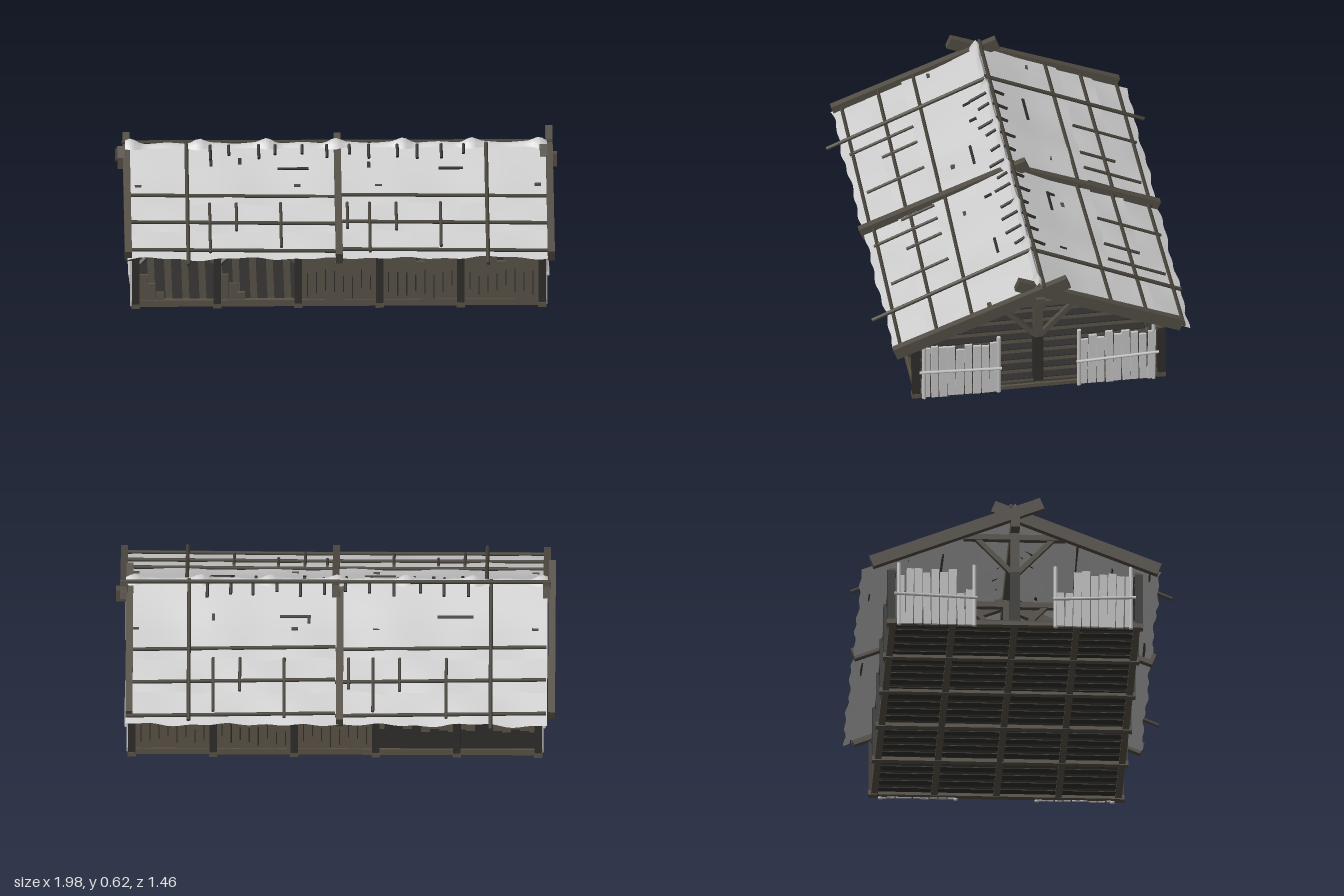
import * as THREE from 'three';

const mat = (name, color, side = THREE.FrontSide) => {
  const m = new THREE.MeshStandardMaterial({ color, side });
  m.name = name;
  return m;
};

export function createModel() {
  const model = new THREE.Group();
  model.name = 'longhouse';
  const wood = mat('weathered wood', 0x595246);
  const timber = mat('rafter timber', 0x524d44);
  const dark = mat('charred wood', 0x2f2e2c);
  const pole = mat('roof pole wood', 0x47433a);
  const pale = mat('pale fence wood', 0xc6c6c6);
  const cloth = mat('roof cloth', 0xcdcdcd, THREE.DoubleSide);

  let seed = 7;
  const rnd = (a = 0, b = 1) => {
    seed = (seed * 16807) % 2147483647;
    return a + (b - a) * seed / 2147483647;
  };
  const group = (name) => {
    const g = new THREE.Group();
    g.name = name;
    model.add(g);
    return g;
  };
  const box = (parent, name, m, w, h, d, x, y, z) => {
    const o = new THREE.Mesh(new THREE.BoxGeometry(w, h, d), m);
    o.name = name;
    o.position.set(x, y, z);
    parent.add(o);
    return o;
  };
  // square timber or round pole running between two points
  const Z = new THREE.Vector3(0, 0, 1);
  const beam = (parent, name, m, a, b, w, h, round = false) => {
    const p = new THREE.Vector3(...a), d = new THREE.Vector3(...b).sub(p);
    const geo = round
      ? new THREE.CylinderGeometry(w / 2, w / 2, d.length(), 7).rotateX(Math.PI / 2)
      : new THREE.BoxGeometry(w, h, d.length());
    const o = new THREE.Mesh(geo, m);
    o.name = name;
    o.position.copy(p).addScaledVector(d, 0.5);
    o.quaternion.setFromUnitVectors(Z, d.normalize());
    parent.add(o);
  };

  const roofY = (z) => 0.555 - 0.43 * Math.abs(z);
  const postX = [-0.915, -0.549, -0.183, 0.183, 0.549, 0.915];

  // floor on a grid of joists
  const floor = group('floor');
  box(floor, 'floorDeck', pole, 1.84, 0.012, 1.11, 0, 0.036, 0);
  for (const z of [-0.55, -0.28, 0, 0.28, 0.55])
    box(floor, 'longJoist', wood, 1.86, 0.018, 0.03, 0, 0.024, z);
  for (const x of postX) box(floor, 'crossJoist', wood, 0.032, 0.018, 1.13, x, 0.022, 0);
  for (let i = 0; i < 24; i++) {
    box(floor, 'floorSlat', dark, 0.045, 0.006, 1.08, -0.88 + i * 0.0765, 0.043, 0);
    box(floor, 'underSlat', dark, 0.045, 0.004, 1.08, -0.88 + i * 0.0765, 0.029, 0);
  }

  // long walls: posts, plates, planks
  for (const s of [1, -1]) {
    const wall = group(s > 0 ? 'frontWall' : 'backWall');
    const z = s * 0.55;
    for (const x of postX) {
      beam(wall, 'wallPost', dark, [x, 0.03, z + s * 0.008], [x, 0.275, z + s * 0.008], 0.034, 0.036);
      beam(wall, 'postFoot', wood, [x, 0.01, z + s * 0.008], [x, 0.032, z + s * 0.008], 0.038, 0.04);
    }
    box(wall, 'sill', wood, 1.86, 0.018, 0.03, 0, 0.036, z);
    box(wall, 'topPlate', wood, 1.86, 0.022, 0.03, 0, 0.274, z);
    for (let bay = 0; bay < 5; bay++) {
      const x0 = postX[bay];
      if (bay >= 2) {
        // planked bays with a small square vent
        for (let i = 0; i < 9; i++) {
          const top = i === 4 ? 0.222 : 0.27;
          box(wall, 'plank', wood, 0.041, top - 0.028, 0.014 + rnd(0, 0.008),
            x0 + 0.0203 + i * 0.0407, (top + 0.028) / 2, z);
          if (i < 8)
            box(wall, 'plankGap', dark, 0.005, rnd(0.06, 0.12), 0.024, x0 + 0.0407 * (i + 1), rnd(0.1, 0.15), z);
        }
      } else {
        // burnt bays: open at the front, charred lower wall at the back
        for (const d of [1, -1]) {
          const px = d > 0 ? x0 : postX[bay + 1];
          beam(wall, 'kneeBrace', wood, [px, 0.2, z], [px + d * 0.07, 0.272, z], 0.014, 0.014);
        }
        if (s < 0) {
          box(wall, 'charredPanel', dark, 0.366, 0.11, 0.012, x0 + 0.183, 0.095, z);
          for (let i = 0; i < 9; i++) {
            const burnt = (bay ? [4, 6, 7] : [5, 6]).includes(i);
            box(wall, 'upperPlank', burnt ? dark : wood, 0.041, 0.14 - (i % 3) * 0.008, 0.016,
              x0 + 0.0203 + i * 0.0407, 0.205 + (i % 3) * 0.004, z);
          }
        } else {
          for (let i = 0; i < 3; i++)
            box(wall, 'brokenPlank', wood, 0.036, 0.13 - i * 0.045, 0.014, x0 + 0.034 + i * 0.037, 0.1 - i * 0.02, z);
        }
      }
    }
  }

  // low partition inside
  const partition = group('partition');
  for (let i = 0; i < 26; i++)
    box(partition, 'partitionPlank', wood, 0.012 + rnd(0, 0.008), 0.122, 0.041, -0.183, 0.102, -0.525 + i * 0.042);

  // end fences of uneven pale planks with a doorway in the middle
  for (const e of [1, -1]) {
    const fence = group(e > 0 ? 'leftFence' : 'rightFence');
    const x = e * 0.93;
    for (const s of [1, -1]) {
      for (let i = 0; i < 9; i++) {
        const h = rnd(0.245, 0.285) - (e < 0 && i < 2 ? 0.09 : 0);
        const p = box(fence, 'fencePlank', pale, 0.012, h - 0.008, rnd(0.032, 0.037), x + rnd(-0.004, 0.004),
          h / 2 + 0.006, s * (0.205 + i * 0.0385));
        p.rotation.x = rnd(-0.025, 0.025);
      }
      for (const [pz, h] of [[0.183, 0.305], [0.523, 0.31]])
        beam(fence, 'fencePost', pale, [x, 0.005, s * pz], [x, h, s * pz], 0.02, 0.02, true);
      beam(fence, 'fenceRail', pale, [x + e * 0.012, 0.14, s * 0.17], [x + e * 0.012, 0.155, s * 0.545], 0.014, 0.014, true);
    }
  }

  // king-post trusses
  for (const x of [-0.9, -0.183, 0.183, 0.9]) {
    const truss = group('truss');
    box(truss, 'kingPostBase', dark, 0.045, 0.24, 0.045, x, 0.16, 0);
    box(truss, 'kingPost', timber, 0.04, 0.25, 0.04, x, 0.4, 0);
    box(truss, 'tieBeam', timber, 0.03, 0.026, 0.46, x, 0.457, 0);
    for (const s of [1, -1])
      beam(truss, 'brace', timber, [x, 0.28, s * 0.01], [x, 0.45, s * 0.17], 0.022, 0.022);
  }
  const ridge = group('ridge');
  box(ridge, 'ridgeBeam', timber, 1.98, 0.06, 0.04, 0, 0.505, 0);
  beam(ridge, 'ridgePole', pole, [-0.97, 0.588, -0.02], [0.97, 0.584, -0.02], 0.018, 0.018, true);

  // one overlapping strip of roof cloth, sagging with a ragged lower edge
  const roof = group('roof');
  const clothStrip = (s, z0, z1, lift, k) => {
    const geo = new THREE.PlaneGeometry(1, 1, 72, 8);
    const p = geo.attributes.position;
    for (let i = 0; i < p.count; i++) {
      const u = p.getX(i) + 0.5, v = 0.5 - p.getY(i), x = -0.955 + u * 1.895;
      const rag = 0.004 * Math.sin(x * 13 + k) + 0.004 * Math.sin(x * 37 + k * 2);
      const z = z0 + (z1 - z0 + rag) * v;
      const wave = 0.004 * Math.sin(x * 9 + k) * Math.sin(v * Math.PI) + 0.005 * v * Math.sin(x * 16 + k * 3);
      const rise = 0.02 * Math.max(0, 1 - z / 0.2);
      p.setXYZ(i, x, roofY(z) + rise + lift * v + wave, s * z);
    }
    geo.computeVertexNormals();
    const o = new THREE.Mesh(geo, cloth);
    o.name = 'roofCloth';
    roof.add(o);
  };
  // per side: stick positions, slim poles [x, end], rafters [x, end, top], tears [x, z, width]
  const sides = [
    { s: 1, dz: 0, k: 1, sticks: [-0.58, -0.46, -0.26, 0.04, 0.14, 0.26, 0.46],
      slim: [[-0.68, 0.72], [0.67, 0.72]],
      rafters: [[-0.95, 0.65, -0.1], [0, 0.67, -0.09], [0.955, 0.66, -0.13]],
      tears: [[-0.57, 0.1, 0.015], [-0.2, 0.13, 0.14], [0.14, 0.11, 0.015], [0.51, 0.13, 0.11], [-0.44, 0.09, 0.015]] },
    { s: -1, dz: 0.035, k: 4, sticks: [-0.5, -0.29, -0.17, -0.06, 0.23, 0.43, 0.55],
      slim: [[-0.7, 0.73], [0.66, 0.69]],
      rafters: [[-0.975, 0.65, -0.12], [-0.02, 0.69, 0], [0.928, 0.65, -0.1]],
      tears: [[-0.54, 0.165, 0.16], [-0.23, 0.17, 0.015], [0.18, 0.165, 0.14], [0.12, 0.18, 0.015], [0.55, 0.17, 0.015]] },
  ];
  for (const { s, dz, k, sticks, slim, rafters, tears } of sides) {
    clothStrip(s, 0, 0.34 + dz, 0.012, k);
    clothStrip(s, 0.29 + dz, 0.5 + dz, 0.008, k + 1);
    clothStrip(s, 0.45 + dz, 0.655 + dz, 0.004, k + 2);

    // horizontal poles over each strip
    for (const z of [0.295, 0.455, 0.62]) {
      const zz = z + dz * 0.85;
      beam(roof, 'roofRail', pole, [-0.95, roofY(zz) + 0.02, s * (zz - 0.008)],
        [0, roofY(zz) + 0.012, s * (zz + 0.004)], 0.017, 0.017, true);
      beam(roof, 'roofRail', pole, [0, roofY(zz) + 0.018, s * (zz - 0.008)],
        [0.94, roofY(zz) + 0.013, s * (zz + 0.01)], 0.017, 0.017, true);
    }
    // short sticks pinning the lower strips
    sticks.forEach((x, i) => {
      const a = 0.34 + dz, b = [0.63, 0.5, 0.6, 0.49][i % 4] + dz;
      beam(roof, 'roofStick', pole, [x, roofY(a) + 0.018, s * a], [x, roofY(b) + 0.016, s * b], 0.014, 0.014, true);
    });
    // long slim poles reaching past the eaves
    for (const [x, e] of slim)
      beam(roof, 'slimRafter', pole, [x, roofY(0) + 0.03, 0], [x, roofY(e) + 0.028, s * e], 0.018, 0.018, true);
    // heavy rafters crossing at the ridge
    for (const [x, e, t] of rafters)
      beam(roof, 'rafter', timber, [x, 0.546 - 0.395 * t, s * t], [x, 0.546 - 0.395 * e, s * e], 0.032, 0.056);
    // tears in the cloth, and pegs near the ridge
    for (const [x, z, w] of tears) {
      const o = box(roof, 'tear', dark, w, 0.006, w > 0.1 ? 0.012 : 0.035, x,
        roofY(z) + 0.02 * Math.max(0, 1 - z / 0.2) + 0.007, s * z);
      o.rotation.x = s * 0.45;
    }
    for (let i = 0; i < 12; i++) {
      const x = -0.58 + i * 0.104 + rnd(-0.02, 0.02), z = rnd(0.05, 0.09);
      beam(ridge, 'ridgePeg', dark, [x, roofY(0) + 0.028, s * 0.01], [x, roofY(z) + 0.022, s * z], 0.014, 0.014, true);
    }
  }

  // rumpled cap along the ridge
  const cap = new THREE.PlaneGeometry(1, 1, 90, 4);
  const cp = cap.attributes.position;
  for (let i = 0; i < cp.count; i++) {
    const x = cp.getX(i) * 1.9, t = cp.getY(i) * 2;
    const lump = Math.max(0, Math.cos(x * 20.5 + 0.1)) ** 4;
    cp.setXYZ(i, x - 0.005, 0.59 + lump * 0.022 * (1 - Math.abs(t)) - 0.022 * Math.abs(t) + 0.003 * Math.sin(x * 31),
      t * (0.014 + 0.018 * lump));
  }
  cap.computeVertexNormals();
  const capMesh = new THREE.Mesh(cap, cloth);
  capMesh.name = 'ridgeCap';
  ridge.add(capMesh);
  return model;
}
